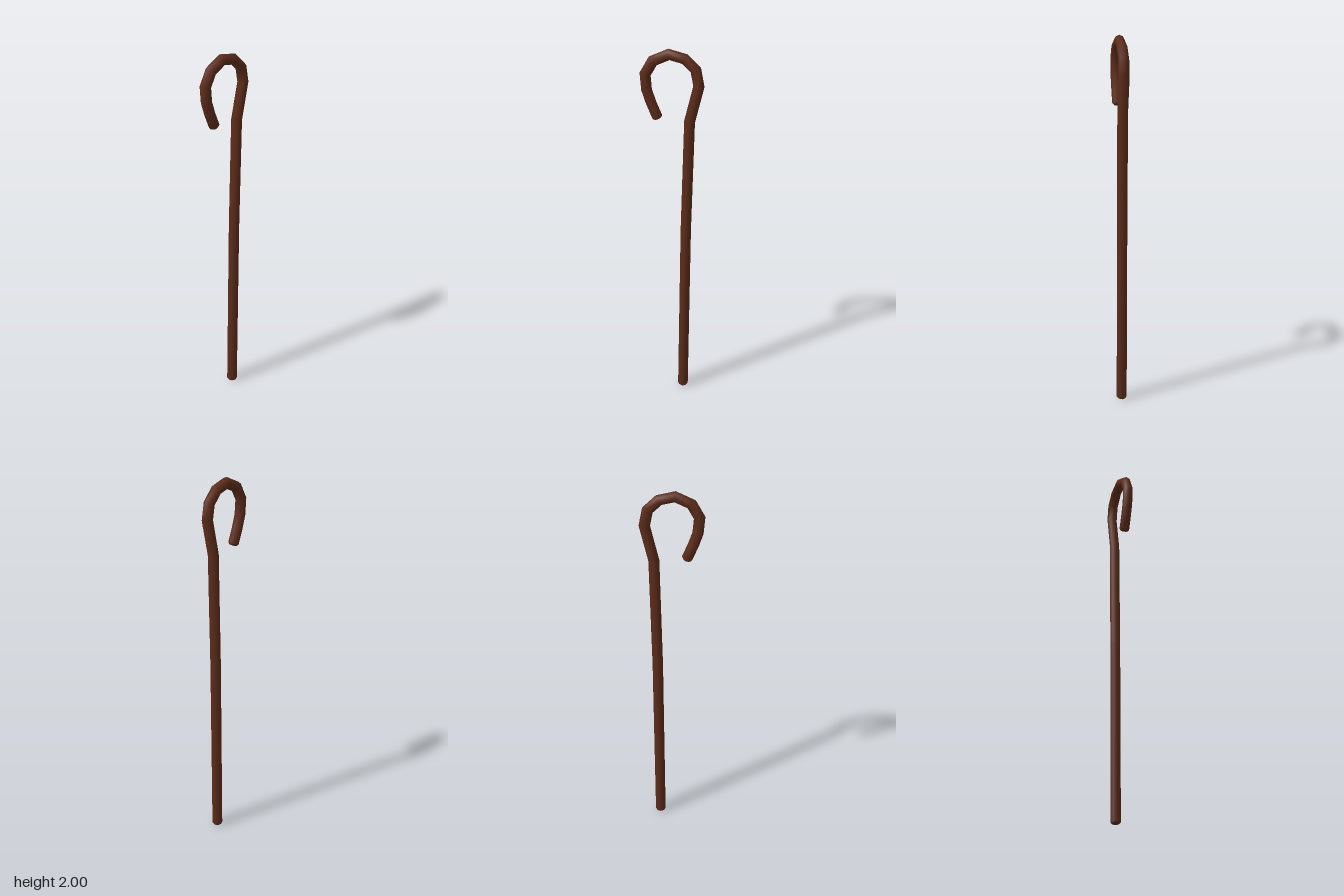
import * as THREE from 'three';

const RADIUS = 0.028;
const SIDES = 8;

// Centre line, from the foot up the shaft and around the hook to its tip.
const PATH = [
  [0.064, 0.012], [0.075, 1.0], [0.091, 1.62], [0.137, 1.813], [0.121, 1.897],
  [0.064, 1.952], [-0.016, 1.971], [-0.098, 1.932], [-0.138, 1.86],
  [-0.131, 1.778], [-0.109, 1.712], [-0.077, 1.636],
].map(([x, y]) => new THREE.Vector2(x, y));

// Sweeps an octagon along the path, mitred at each bend, with bevelled ends.
function sweepStaff(path) {
  const last = path.length - 1;
  const dir = (i) => path[i + 1].clone().sub(path[i]).normalize();
  const stations = path.map((p, i) => {
    const before = dir(Math.max(i - 1, 0));
    const after = dir(Math.min(i, last - 1));
    const t = before.clone().add(after).normalize();
    return { p, t, wide: RADIUS / t.dot(after), deep: RADIUS };
  });

  // Bevel ring and closing point at each end.
  const cap = (s, sign, offset, scale) => ({
    p: s.p.clone().addScaledVector(s.t, sign * offset),
    t: s.t, wide: RADIUS * scale, deep: RADIUS * scale,
  });
  const foot = stations[0], tip = stations[last];
  const rings = [
    cap(foot, -1, 0.012, 0), cap(foot, -1, 0.01, 0.65), ...stations,
    cap(tip, 1, 0.01, 0.65), cap(tip, 1, 0.012, 0),
  ];

  const positions = [], indices = [];
  rings.forEach(({ p, t, wide, deep }, i) => {
    for (let j = 0; j < SIDES; j++) {
      const a = (j / SIDES) * Math.PI * 2;
      const w = Math.cos(a) * wide;
      positions.push(p.x + t.y * w, p.y - t.x * w, Math.sin(a) * deep);
      if (i === rings.length - 1) continue;
      const k = (j + 1) % SIDES;
      const a0 = i * SIDES + j, b0 = i * SIDES + k;
      const a1 = a0 + SIDES, b1 = b0 + SIDES;
      if (i < rings.length - 2) indices.push(a0, a1, b0);
      if (i > 0) indices.push(b0, a1, b1);
      // The pointed ends need one triangle per side only.
      if (i === 0) indices.splice(-3, 3, a0, a1, b1);
    }
  });

  // The last ring is a point, so close it with the remaining triangles.
  const end = (rings.length - 2) * SIDES;
  indices.splice(-SIDES * 3);
  for (let j = 0; j < SIDES; j++) {
    indices.push(end + j, end + SIDES + j, end + ((j + 1) % SIDES));
  }

  const geometry = new THREE.BufferGeometry();
  geometry.setAttribute('position', new THREE.Float32BufferAttribute(positions, 3));
  geometry.setIndex(indices);
  geometry.computeVertexNormals();
  return geometry;
}

export function createModel() {
  const group = new THREE.Group();
  group.name = 'crook';
  const wood = new THREE.MeshStandardMaterial({ color: 0x5c2c1a });
  const staff = new THREE.Mesh(sweepStaff(PATH), wood);
  staff.name = 'hookedStaff';
  group.add(staff);
  return group;
}
